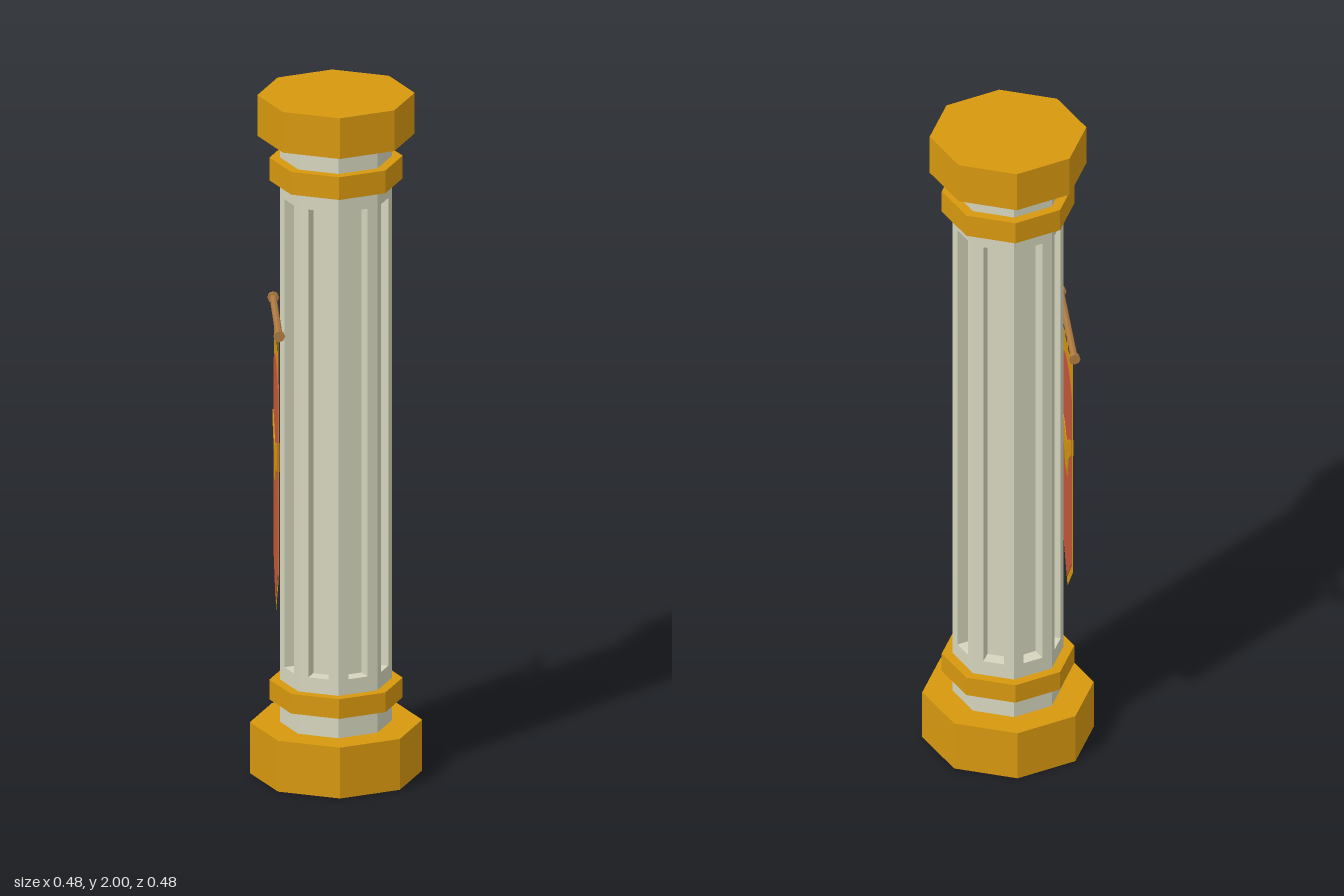
import * as THREE from 'three';

const material = (name, color) =>
  new THREE.MeshStandardMaterial({ name, color, flatShading: true, side: THREE.DoubleSide });

const SHAFT_R = 0.157;
const BANNER_X = -0.168;
const ROD_Y = 1.345;

// One face of the shaft with its sunken flute, made from nested rectangular loops
function shaftPanel() {
  const apothem = SHAFT_R * Math.cos(Math.PI / 8);
  const half = SHAFT_R * Math.sin(Math.PI / 8);
  const loop = (w, y0, y1, z) => [[-w, y0, z], [w, y0, z], [w, y1, z], [-w, y1, z]];
  const loops = [
    loop(half, 0.15, 1.88, apothem),
    loop(0.03, 0.32, 1.7, apothem),
    loop(0.03, 0.32, 1.7, apothem - 0.04),
  ];
  const index = [];
  for (let r = 0; r < 2; r++) {
    for (let i = 0; i < 4; i++) {
      const a = r * 4 + i, b = r * 4 + (i + 1) % 4;
      index.push(a, b, b + 4, a, b + 4, a + 4);
    }
  }
  index.push(8, 9, 10, 8, 10, 11);
  const geo = new THREE.BufferGeometry();
  geo.setAttribute('position', new THREE.Float32BufferAttribute(loops.flat(2), 3));
  geo.setIndex(index);
  geo.computeVertexNormals();
  return geo;
}

export function createModel() {
  const gold = material('gold', 0xd8980f);
  const stone = material('pale stone', 0xd6d6be);
  const red = material('red cloth', 0xcb5a3a);
  const wood = material('brown wood', 0xae7a40);

  const model = new THREE.Group();
  model.name = 'column';
  const add = (parent, name, geo, mat) => {
    const mesh = new THREE.Mesh(geo, mat);
    mesh.name = name;
    parent.add(mesh);
    return mesh;
  };

  // Fluted eight-sided shaft
  const shaft = new THREE.Group();
  shaft.name = 'shaft';
  model.add(shaft);
  const panel = shaftPanel();
  for (let i = 0; i < 8; i++) {
    add(shaft, 'shaftPanel', panel, stone).rotation.y = (i + 0.5) * Math.PI / 4;
  }

  // Gold base (open underneath), two bands and the cap
  const ring = (name, points) => add(model, name,
    new THREE.LatheGeometry(points.map(([r, y]) => new THREE.Vector2(r, y)), 8), gold);
  const band = (name, y0, y1) =>
    ring(name, [[SHAFT_R, y0], [0.187, y0], [0.187, y1], [SHAFT_R, y1]]);
  ring('base', [[0.242, 0], [0.242, 0.15], [SHAFT_R, 0.15]]);
  band('lowerBand', 0.217, 0.275);
  band('upperBand', 1.748, 1.815);
  ring('cap', [[SHAFT_R, 1.88], [0.221, 1.88], [0.221, 2], [0, 2]]);

  // Banner hanging on the right side
  const banner = new THREE.Group();
  banner.name = 'banner';
  banner.position.x = BANNER_X;
  model.add(banner);

  const rod = add(banner, 'bannerRod', new THREE.CylinderGeometry(0.01, 0.01, 0.35, 8), wood);
  rod.rotation.x = Math.PI / 2;
  rod.position.y = ROD_Y;
  for (const s of [-1, 1]) {
    const knob = add(banner, 'rodKnob', new THREE.CylinderGeometry(0.016, 0.016, 0.012, 8), wood);
    knob.rotation.x = Math.PI / 2;
    knob.position.set(0, ROD_Y, s * 0.176);
  }

  const shapeOf = (pts) => new THREE.Shape(pts.map(([z, y]) => new THREE.Vector2(z, y)));
  // Thin plate centred on the cloth, so it shows on both sides
  const plate = (name, shape, depth, mat) => add(banner, name,
    new THREE.ExtrudeGeometry(shape, { depth, bevelEnabled: false, curveSegments: 6 })
      .translate(0, 0, -depth / 2).rotateY(-Math.PI / 2), mat);

  // Gold cloth: pointed foot, five hanging tabs on top
  const outline = [[-0.135, 0.605], [0, 0.476], [0.135, 0.605]];
  for (let i = 0; i < 5; i++) {
    const z = 0.135 - i * 0.06;
    outline.push([z, 1.275], [z, ROD_Y], [z - 0.03, ROD_Y], [z - 0.03, 1.275]);
  }
  add(banner, 'bannerCloth', new THREE.ShapeGeometry(shapeOf(outline)).rotateY(-Math.PI / 2), gold);

  // Red field with an arched top
  const field = new THREE.Shape();
  field.moveTo(-0.118, 0.622);
  field.lineTo(0, 0.508);
  field.lineTo(0.118, 0.622);
  field.lineTo(0.118, 1.17);
  field.quadraticCurveTo(0.09, 1.225, 0, 1.228);
  field.quadraticCurveTo(-0.09, 1.225, -0.118, 1.17);
  plate('bannerField', field, 0.004, red);

  // Plain winged ornament across the middle
  plate('bannerOrnament', shapeOf([
    [-0.118, 1.035], [-0.056, 1.0], [-0.02, 0.968], [0.012, 0.968], [0.05, 0.99],
    [0.118, 1.01], [0.118, 0.925], [0.056, 0.912], [0.028, 0.867], [-0.028, 0.86],
    [-0.047, 0.925], [-0.118, 0.985],
  ]), 0.008, gold);

  return model;
}
